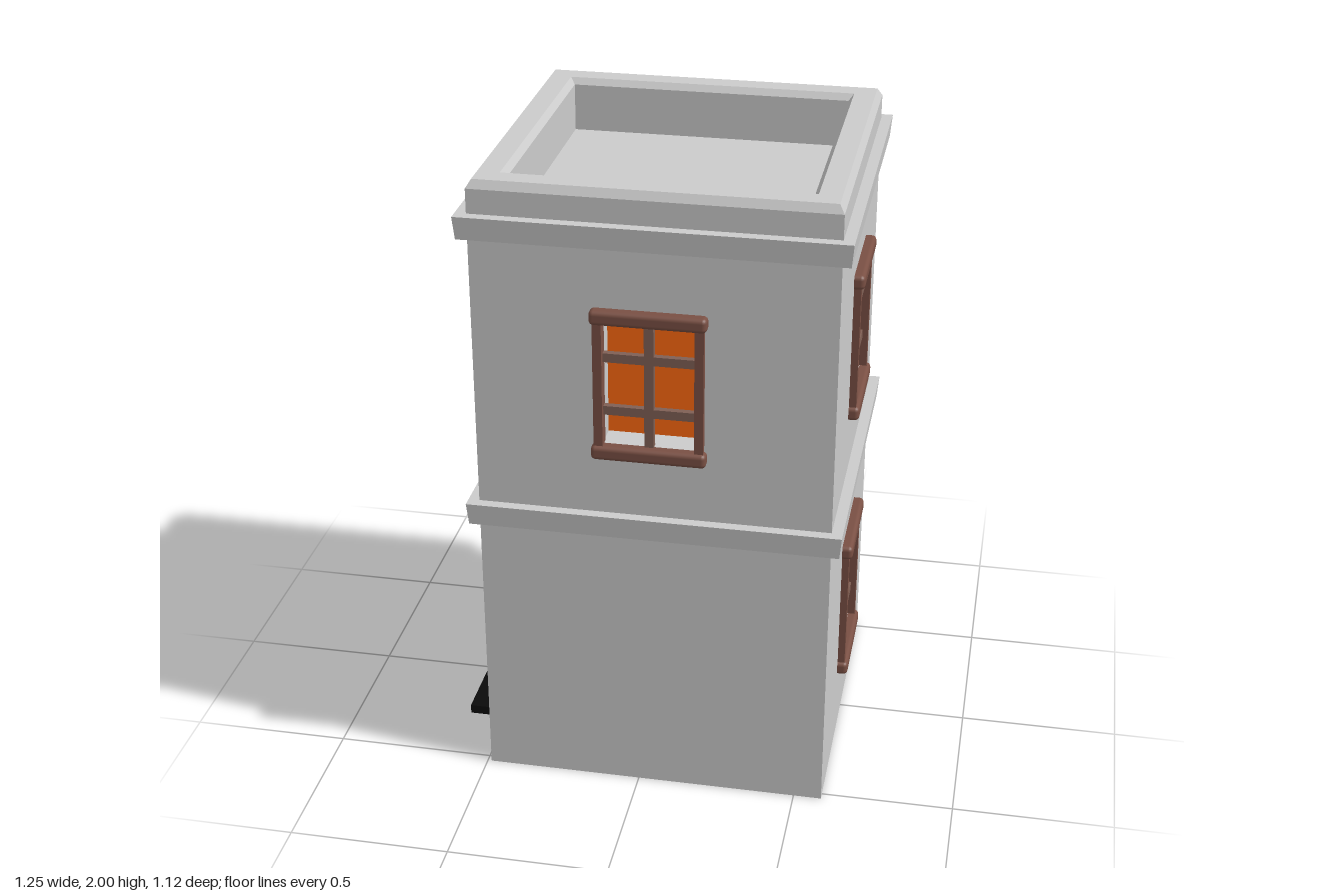
import * as THREE from 'three';
import { RoundedBoxGeometry } from 'three/addons/geometries/RoundedBoxGeometry.js';

const mat = (color, side = THREE.FrontSide) => new THREE.MeshStandardMaterial({ color, side });
const stone = mat(0xcccccc, THREE.DoubleSide);
const black = mat(0x0a0a0a, THREE.DoubleSide);
const orange = mat(0xff6a10, THREE.DoubleSide);
const white = mat(0xffffff, THREE.DoubleSide);
const wood = mat(0x7a5044);
const barWood = mat(0x806055);
const glass = mat(0x36506a);

const CX = 0.05, HX = 0.5375, HZ = 0.525, SPLIT = 0.935, TOP = 1.9;

function add(parent, name, geometry, material, x = 0, y = 0, z = 0) {
  const m = new THREE.Mesh(geometry, material);
  m.name = name;
  m.position.set(x, y, z);
  parent.add(m);
  return m;
}
const box = (parent, name, w, h, d, material, x, y, z) =>
  add(parent, name, new THREE.BoxGeometry(w, h, d), material, x, y, z);

// Four-sided sweep of a [half depth, height] profile around the tower
function squareRing(parent, name, profile) {
  const pts = profile.map(([r, y]) => new THREE.Vector2(r * Math.SQRT2, y));
  const g = new THREE.LatheGeometry(pts, 4, Math.PI / 4).toNonIndexed();
  g.scale(HX / HZ, 1, 1);
  g.computeVertexNormals();
  add(parent, name, g, stone, CX);
}

function rectPath(Type, x0, x1, y0, y1) {
  const p = new Type();
  p.moveTo(x0, y0);
  p.lineTo(x1, y0);
  p.lineTo(x1, y1);
  p.lineTo(x0, y1);
  p.closePath();
  return p;
}

// Round-headed outline standing on the ground
function archPath(Type, cx, r, spring) {
  const p = new Type();
  p.moveTo(cx - r, 0);
  p.lineTo(cx - r, spring);
  p.absarc(cx, spring, r, Math.PI, 0, true);
  p.lineTo(cx + r, 0);
  p.closePath();
  return p;
}

function wall(parent, name, half, y0, y1, material, hole) {
  const s = rectPath(THREE.Shape, -half, half, y0, y1);
  if (hole) s.holes.push(hole);
  add(parent, name, new THREE.ShapeGeometry(s), material);
}

const windowHole = (u, y) => rectPath(THREE.Path, u - 0.14, u + 0.14, y - 0.195, y + 0.195);

// Recessed window: the wall plane is z = 0 and z points outwards
function addWindow(parent, u, y) {
  const g = new THREE.Group();
  g.name = 'window';
  g.position.set(u, y, 0);
  parent.add(g);
  const depth = 0.08;
  add(g, 'pane', new THREE.PlaneGeometry(0.28, 0.39), orange, 0, 0, -depth);
  for (const s of [-1, 1]) {
    const side = add(g, 'sideReveal', new THREE.PlaneGeometry(depth, 0.39), white, s * 0.14, 0, -depth / 2);
    side.rotation.y = -s * Math.PI / 2;
    const end = add(g, 'endReveal', new THREE.PlaneGeometry(0.28, depth), white, 0, s * 0.195, -depth / 2);
    end.rotation.x = s * Math.PI / 2;
    box(g, 'jamb', 0.027, 0.4, 0.04, wood, s * 0.15, 0, 0.002);
    add(g, s < 0 ? 'sill' : 'lintel', new RoundedBoxGeometry(0.345, 0.045, 0.06, 2, 0.014), wood, 0, s * 0.2175, 0.003);
    box(g, 'crossBar', 0.28, 0.028, 0.02, barWood, 0, s * 0.085, -0.005);
  }
  box(g, 'centreBar', 0.028, 0.39, 0.024, barWood, 0, 0, -0.005);
}

function addDoor(parent) {
  const g = new THREE.Group();
  g.name = 'doorway';
  g.position.x = 0.022;
  parent.add(g);
  const R = 0.2125, r = 0.155, spring = 0.457;
  const extrude = (shape, depth) =>
    new THREE.ExtrudeGeometry(shape, { depth, bevelEnabled: false, curveSegments: 16 });

  // Stone panel with an arched opening, and the raised arch on it
  const panel = new THREE.Shape();
  panel.moveTo(-0.322, 0);
  panel.lineTo(-r, 0);
  panel.lineTo(-r, spring);
  panel.absarc(0, spring, r, Math.PI, 0, true);
  panel.lineTo(r, 0);
  panel.lineTo(0.322, 0);
  panel.lineTo(0.322, 0.79);
  panel.lineTo(-0.322, 0.79);
  panel.closePath();
  add(g, 'doorSurround', extrude(panel, 0.037), stone);

  const arch = new THREE.Shape();
  arch.moveTo(-R, 0);
  arch.lineTo(-R, spring);
  arch.absarc(0, spring, R, Math.PI, 0, true);
  arch.lineTo(R, 0);
  arch.lineTo(r, 0);
  arch.lineTo(r, spring);
  arch.absarc(0, spring, r, 0, Math.PI, false);
  arch.lineTo(-r, 0);
  arch.closePath();
  add(g, 'doorArch', extrude(arch, 0.083), stone);

  // Door leaf with planks and small lights
  add(g, 'doorLeaf', extrude(archPath(THREE.Shape, 0, r + 0.005, spring), 0.02), black, 0, 0, -0.03);
  for (let i = 0; i < 6; i++) {
    const x = (i - 2.5) * 0.052;
    const h = spring + Math.sqrt(r * r - x * x) - 0.015;
    box(g, 'plank', 0.044, h, 0.04, black, x, h / 2, -0.02);
  }
  for (const y of [0.33, 0.47])
    for (const s of [-1, 1]) box(g, 'doorLight', 0.09, 0.04, 0.01, glass, s * 0.06, y, 0.002);

  // Steps
  box(g, 'lowerStep', 0.51, 0.03, 0.135, black, 0, 0.015, 0.07);
  box(g, 'upperStep', 0.42, 0.055, 0.09, black, 0, 0.0275, 0.02);
}

export function createModel() {
  const model = new THREE.Group();
  model.name = 'tower';

  // Four faces: position, turn, half width and window offset
  const faces = [
    { name: 'front', x: CX, z: HZ, turn: 0, half: HX, u: -0.01 },
    { name: 'left', x: CX + HX, z: 0, turn: Math.PI / 2, half: HZ, u: 0.008, low: true },
    { name: 'back', x: CX, z: -HZ, turn: Math.PI, half: HX, u: 0.005 },
    { name: 'right', x: CX - HX, z: 0, turn: -Math.PI / 2, half: HZ, u: 0.01, door: true },
  ];
  for (const f of faces) {
    const g = new THREE.Group();
    g.name = f.name + 'Face';
    g.position.set(f.x, 0, f.z);
    g.rotation.y = f.turn;
    model.add(g);
    wall(g, 'upperWall', f.half, SPLIT, TOP, stone, windowHole(f.u, 1.4));
    addWindow(g, f.u, 1.4);
    const hole = f.low ? windowHole(f.u, 0.47)
      : f.door ? rectPath(THREE.Path, -0.25, 0.294, 0.001, 0.72) : null;
    wall(g, 'lowerWall', f.half, 0, SPLIT, f.door ? black : stone, hole);
    if (f.low) addWindow(g, f.u, 0.47);
    if (f.door) addDoor(g);
  }

  // Projecting bands at the middle and under the parapet
  for (const [name, y] of [['middleBand', 0.9], ['cornice', 1.83]])
    squareRing(model, name, [[0.52, y], [0.552, y], [0.558, y + 0.07], [0.52, y + 0.07]]);

  // Parapet with bevelled rim and sunken flat roof
  squareRing(model, 'parapetAndRoof', [
    [0.525, 1.89], [0.525, 1.975], [0.51, 2], [0.445, 2], [0.43, 1.98], [0.43, 1.83], [0, 1.83],
  ]);
  return model;
}
